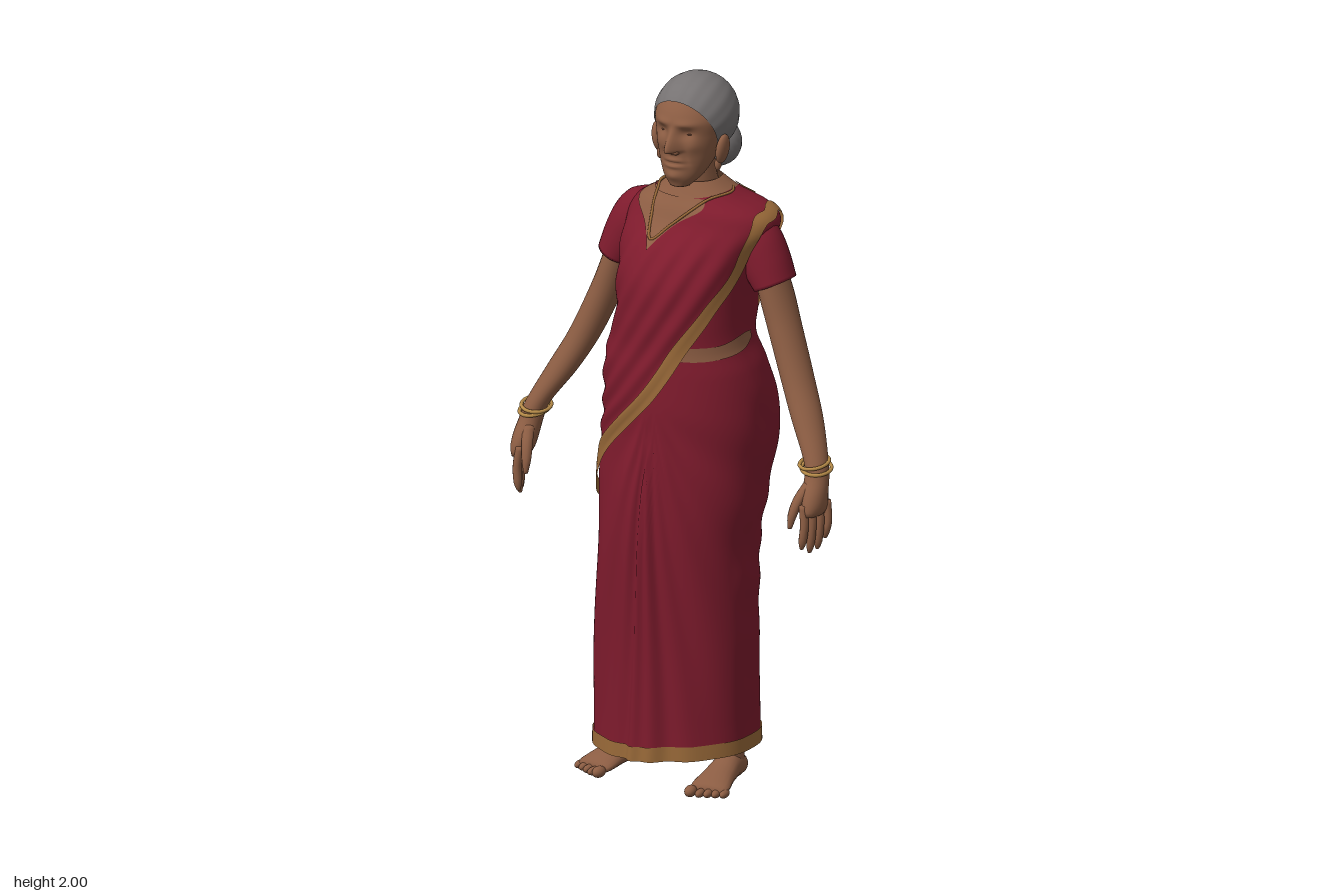
import * as THREE from 'three';
import { mergeVertices } from 'three/addons/utils/BufferGeometryUtils.js';

const mat = (name, color) => {
  const m = new THREE.MeshStandardMaterial({ color, side: THREE.DoubleSide });
  m.name = name;
  return m;
};
const smooth = THREE.MathUtils.smoothstep, HALF = Math.PI / 2;
const bump = (d, w) => Math.exp(-(d * d) / (w * w));

// Smooth interpolation of rows keyed by their first number
function table(rows) {
  const n = rows.length, at = (i) => rows[Math.max(0, Math.min(n - 1, i))];
  const slope = (i, k) => (at(i + 1)[k] - at(i - 1)[k]) / (at(i + 1)[0] - at(i - 1)[0]);
  return (y) => {
    let i = 0;
    while (i < n - 2 && y > rows[i + 1][0]) i++;
    const a = rows[i], b = rows[i + 1], h = b[0] - a[0];
    const t = THREE.MathUtils.clamp((y - a[0]) / h, 0, 1), s = 1 - t;
    return a.slice(1).map((v, k) => v * (1 + 2 * t) * s * s + b[k + 1] * t * t * (3 - 2 * t)
      + h * t * s * (s * slope(i, k + 1) - t * slope(i + 1, k + 1)));
  };
}

// Quad sheet from a rule giving a point for u, v in 0..1
function sheet(nu, nv, rule) {
  const pos = [], idx = [];
  for (let j = 0; j <= nv; j++) for (let i = 0; i <= nu; i++) pos.push(...rule(i / nu, j / nv));
  for (let j = 0; j < nv; j++) for (let i = 0; i < nu; i++) {
    const a = j * (nu + 1) + i, b = a + nu + 1;
    idx.push(a, a + 1, b + 1, a, b + 1, b);
  }
  let g = new THREE.BufferGeometry();
  g.setAttribute('position', new THREE.Float32BufferAttribute(pos, 3));
  g.setIndex(idx);
  g = mergeVertices(g, 1e-5);
  g.computeVertexNormals();
  return g;
}

// Closed solid from rows of [y, centreX, radiusX, centreZ, radiusZ]
function loft(rows, { n = 20, steps = 5, tilt = 0, shape = null } = {}) {
  rows = [...rows].sort((a, b) => a[0] - b[0]);
  const T = table(rows), y0 = rows[0][0], y1 = rows[rows.length - 1][0], nv = rows.length * steps + 2;
  return sheet(n, nv, (u, v) => {
    const k = Math.round(v * nv), a = u * 2 * Math.PI;
    const y = y0 + (y1 - y0) * THREE.MathUtils.clamp((k - 1) / (nv - 2), 0, 1);
    const [cx, rx, cz, rz] = T(y), r = k === 0 || k === nv ? 0 : 1;
    const p = [cx + rx * r * Math.sin(a), y + tilt * rx * r * Math.sin(a), cz + rz * r * Math.cos(a)];
    return shape && r ? shape(p, Math.cos(a)) : p;
  });
}

// Draped figure: y, right, left, back, front
const section = table([
  [0.07, -.27, .19, -.19, .175], [0.2, -.265, .19, -.185, .175], [0.4, -.26, .195, -.17, .18],
  [0.7, -.25, .205, -.165, .196], [0.85, -.248, .225, -.185, .196], [1.0, -.235, .24, -.213, .192],
  [1.1, -.23, .235, -.218, .194], [1.2, -.22, .212, -.18, .19], [1.27, -.195, .185, -.17, .185],
  [1.35, -.185, .18, -.18, .182], [1.45, -.19, .19, -.203, .168], [1.53, -.196, .21, -.208, .13],
  [1.6, -.198, .24, -.188, .08], [1.64, -.165, .215, -.165, .06], [1.67, -.11, .13, -.14, .04],
  [1.72, -.055, .055, -.1, .012],
].map(([y, l, r, b, f]) => [y, (l + r) / 2, (r - l) / 2, (b + f) / 2, (f - b) / 2]));
const sashEdge = table([[.82, -.235], [.945, -.18], [1.14, -.01], [1.39, .14], [1.615, .225]]);
const hem = (a) => 0.09 + 0.018 * Math.sin(a);
const collar = (a) => 1.665 + 0.018 * Math.max(0, Math.sin(a));

function base(a, y) {
  const [cx, rx, cz, rz] = section(y), s = Math.sin(a), c = Math.cos(a), n = c > 0 ? 2.1 : 2.5;
  const r = 1 / Math.pow(Math.abs(s) ** n + Math.abs(c) ** n, 1 / n);
  return [cx + rx * r * s, y, cz + rz * r * c];
}
// Figure surface with pleats, swags and the raised sash
function surface(a, y, off = 0) {
  const p = base(a, y), c = Math.cos(a), front = smooth(c, 0, .35), back = smooth(-c, -.1, .5);
  const phi = Math.atan2(p[0], 1.14 - y), g = phi / (.25 + Math.abs(phi + .08));
  let d = off;
  d += front * smooth(1.12 - y, 0, .2) * (.0045 * Math.cos(30 * g) + .003 * Math.cos(13 * g + 1));
  d += .016 * front * bump(p[0] + .05, .06) * smooth(1.1 - y, 0, .3);
  d += .0025 * back * Math.cos(40 * y + 4 * Math.cos(a - 2.4) + 2 * Math.sin(9 * y)) * smooth(y, .25, .6) * (1 - smooth(y, 1.45, 1.6));
  d += .0025 * (1 - front) * Math.cos(34 * y + 3 * a * Math.sign(Math.sin(a))) * (1 - back) * (1 - smooth(y, 1.1, 1.3)) * smooth(y, .2, .5);
  const e = sashEdge(y)[0] - p[0], on = front * smooth(y, .9, 1.0) * (1 - smooth(y, 1.5, 1.62));
  d += on * smooth(e, -.005, .012) * (.006 + .0035 * Math.cos(e * 95 + 6 * y));
  return [p[0] + d * Math.sin(a), y, p[2] + d * c];
}
// Angle of the surface point at a given x and y
function spot(x, y, back = false) {
  let lo = -HALF, hi = HALF;
  for (let i = 0; i < 30; i++) {
    const m = (lo + hi) / 2;
    if (base(back ? Math.PI - m : m, y)[0] < x) lo = m; else hi = m;
  }
  return [back ? Math.PI - lo : lo, y];
}
const curve = (pts) => new THREE.CatmullRomCurve3(pts.map(([a, y]) => new THREE.Vector3(a, y, 0)));

// Strip of cloth lying on the figure along a path of [angle, y]
function ribbon(pts, width, off = .006) {
  const c = curve(pts), h = .002;
  return sheet(110, 4, (u, v) => {
    const p = c.getPoint(u), t = c.getTangent(u);
    const len = (q, r) => Math.hypot(...q.map((k, i) => k - r[i])) / h;
    const P = base(p.x, p.y), A = len(base(p.x + h, p.y), P), Y = len(base(p.x, p.y + h), P);
    const l = Math.hypot(t.x * A, t.y * Y), w = (v - .5) * width;
    return surface(p.x - w * t.y * Y / l / A, p.y + w * t.x * A / l / Y, off);
  });
}
// Area of the figure between two paths
function patch(low, high, off = .004) {
  const A = curve(low), B = curve(high);
  return sheet(24, 16, (u, v) => {
    const p = A.getPoint(u).lerp(B.getPoint(u), v);
    return surface(p.x, p.y, off);
  });
}

export function createModel() {
  const root = new THREE.Group();
  root.name = 'womanInSari';
  const cloth = mat('red cloth', 0x7f1b2d), skin = mat('skin', 0x8c5d43), hair = mat('grey hair', 0x767272);
  const trim = mat('border gold', 0x9a6a39), metal = mat('jewellery gold', 0xb58a48), lidTone = mat('dark skin', 0x6b4433);
  const add = (name, geo, m, parent = root) => {
    const o = new THREE.Mesh(geo, m);
    o.name = name;
    parent.add(o);
    return o;
  };
  const ball = (name, m, [x, y, z], [a, b, c], parent = root) => {
    const o = add(name, new THREE.SphereGeometry(1, 24, 16), m, parent);
    o.position.set(x, y, z);
    o.scale.set(a, b, c);
    return o;
  };

  // Sari and blouse
  add('sari', sheet(240, 150, (u, v) => {
    const a = u * 2 * Math.PI;
    return surface(a, hem(a) + (collar(a) - hem(a)) * v);
  }), cloth);
  add('upperChest', sheet(60, 8, (u, v) => {
    const a = u * 2 * Math.PI;
    return surface(a, collar(a) + (1.71 - collar(a)) * v);
  }), skin);
  add('hemBorder', sheet(240, 2, (u, v) => {
    const a = u * 2 * Math.PI;
    return surface(a, hem(a) - .002 + .042 * v, .004);
  }), trim);
  add('sashBorder', ribbon([[-2.05, .7], [-1.75, .755], spot(-.236, .82), spot(-.18, .94), spot(-.09, 1.045),
    spot(-.005, 1.14), spot(.07, 1.265), spot(.14, 1.39), spot(.186, 1.5), spot(.218, 1.59), [HALF, 1.632],
    spot(.205, 1.6, true), spot(.175, 1.5, true), spot(.13, 1.37, true), spot(.08, 1.24, true)], .038, .008), trim);
  add('backBorder', ribbon([spot(.085, 1.675, true), spot(.02, 1.6, true), spot(-.06, 1.52, true),
    spot(-.14, 1.44, true), [Math.PI * 1.5 - .2, 1.37]], .034), trim);
  add('frontNeckline', patch([spot(-.13, 1.666), spot(-.09, 1.595), spot(-.045, 1.535)],
    [spot(.075, 1.672), spot(.015, 1.605), spot(-.045, 1.535)]), skin);
  add('backNeckline', patch([spot(.06, 1.668, true), spot(.01, 1.61, true), spot(-.06, 1.53, true)],
    [spot(-.12, 1.666, true), spot(-.105, 1.59, true), spot(-.06, 1.53, true)]), skin);
  add('midriff', patch([spot(.065, 1.25), spot(.15, 1.25), [HALF, 1.262], [1.8, 1.28]],
    [spot(.09, 1.288), spot(.16, 1.288), [HALF, 1.303], [1.8, 1.3]]), skin);

  // Head: one form with brow, sockets, nose, mouth and chin
  add('head', loft([[1.705, 0, .028, .035, .028], [1.73, 0, .052, .02, .05], [1.76, 0, .069, .003, .07],
    [1.8, 0, .083, -.012, .086], [1.85, 0, .094, -.022, .097], [1.9, 0, .098, -.027, .1],
    [1.95, 0, .074, -.035, .077], [1.985, 0, .035, -.038, .04]], { n: 112, steps: 9, shape: ([x, y, z], c) => {
    if (c > 0) {
      const m = Math.abs(x), nose = smooth(y, 1.798, 1.816) * (1 - smooth(y, 1.812, 1.89));
      z += .04 * nose * bump(x, .011 + .008 * nose) - .011 * bump(m - .037, .02) * bump(y - 1.862, .015);
      z += .006 * bump(y - 1.888, .01) * bump(m - .035, .03) + .005 * bump(m - .055, .018) * bump(y - 1.825, .018);
      z += (.005 * bump(y - 1.783, .006) + .006 * bump(y - 1.766, .006) - .005 * bump(y - 1.775, .004)) * bump(x, .026);
      z += .008 * bump(y - 1.738, .014) * bump(x, .025) - .004 * bump(m - .03 - (1.82 - y) * .25, .006) * bump(y - 1.795, .025);
    }
    return [x, y, z];
  } }), skin);
  add('neck', loft([[1.62, 0, .07, -.07, .065], [1.68, 0, .064, -.05, .06], [1.74, 0, .058, -.038, .056],
    [1.8, 0, .055, -.035, .055]]), skin);
  const cap = new THREE.SphereGeometry(1, 96, 40, 0, Math.PI * 2, 0, 2.11);
  const cp = cap.attributes.position;
  for (let i = 0; i < cp.count; i++) {
    const k = 1 + .006 * Math.cos(18 * Math.atan2(cp.getX(i), cp.getZ(i))) * (1 - cp.getY(i) ** 2);
    cp.setXYZ(i, cp.getX(i) * k, cp.getY(i) * k, cp.getZ(i) * k);
  }
  cap.rotateX(-1.107).scale(.112, .116, .125).computeVertexNormals();
  add('hair', cap, hair).position.set(0, 1.883, -.049);
  ball('hairBun', hair, [0, 1.77, -.158], [.066, .068, .062]);

  // Necklace
  const chain = [spot(-.08, 1.668), spot(-.07, 1.62), spot(-.045, 1.56), spot(0, 1.6), spot(.05, 1.645),
    spot(.08, 1.672), [HALF, 1.682], [Math.PI, 1.682], [Math.PI * 1.5, 1.682]];
  add('necklace', new THREE.TubeGeometry(new THREE.CatmullRomCurve3(
    chain.map(([a, y]) => new THREE.Vector3(...surface(a, y, .006))), true), 90, .004, 6, true), trim);

  for (const s of [1, -1]) {
    const side = s > 0 ? 'left' : 'right';
    const mx = (rows) => rows.map(([y, cx, ...r]) => [y, cx * s, ...r]);

    // Face details
    ball(side + 'Ear', skin, [.102 * s, 1.808, -.018], [.015, .043, .026]).rotation.z = -.15 * s;
    ball(side + 'EarLobe', skin, [.092 * s, 1.765, -.01], [.009, .018, .011]);
    ball(side + 'Eye', lidTone, [.036 * s, 1.859, .05], [.015, .004, .008]);
    ball(side + 'Nostril', skin, [.013 * s, 1.81, .078], [.009, .008, .013]);

    // Sleeve and arm
    add(side + 'Sleeve', loft(mx([[1.625, .15, .03, -.055, .035], [1.6, .16, .055, -.055, .052], [1.555, .183, .068, -.055, .068],
      [1.5, .215, .064, -.054, .07], [1.44, .248, .053, -.052, .067]]), { n: 28, tilt: .45 * s }), cloth);
    add(side + 'Arm', loft(mx([[1.52, .22, .04, -.05, .05], [1.42, .25, .045, -.052, .056], [1.33, .283, .046, -.043, .052],
      [1.2, .338, .046, -.02, .048], [1.1, .39, .044, .012, .044], [1.0, .445, .033, .054, .036], [.96, .455, .032, .066, .038],
      [.92, .46, .033, .084, .044], [.885, .465, .029, .092, .048], [.865, .467, .02, .094, .045]]), { n: 24 }), skin);

    // Fingers and thumb
    for (let i = 0; i < 4; i++) {
      const z = .058 + .024 * i, tip = [.79, .764, .758, .772][i], x = .481 - .01 * i;
      add(side + 'Finger', loft(mx([[.895, x, .0125, z, .0125], [.84, x + .007, .012, z + .005, .0125],
        [tip + .02, x + .003, .011, z + .008, .0115], [tip, x, .005, z + .008, .005]]), { n: 10, steps: 3 }), skin);
    }
    add(side + 'Thumb', loft(mx([[.95, .448, .016, .09, .018], [.91, .434, .016, .122, .016], [.865, .424, .013, .142, .013],
      [.83, .421, .006, .15, .006]]), { n: 10, steps: 3 }), skin);

    // Bangles
    for (const y of [.983, .997]) {
      const b = add(side + 'Bangle', new THREE.TorusGeometry(.041, .0052, 8, 32), metal);
      b.position.set((.449 - (y - .985) * .5) * s, y, .06);
      b.rotation.set(HALF + .2, (y - .99) * 12 * s, 0);
    }

    // Leg and foot
    const foot = new THREE.Group();
    foot.name = side + 'Foot';
    foot.position.x = s > 0 ? .12 : -.208;
    foot.rotation.y = .14 * s;
    root.add(foot);
    add('ankle', loft([[.03, 0, .032, -.05, .036], [.1, 0, .034, -.05, .038], [.3, 0, .045, -.04, .05]]), skin, foot);
    add('sole', loft([[-.1, 0, .02, -.028, .018], [-.08, 0, .033, -.034, .033], [-.03, 0, .037, -.04, .04],
      [.04, 0, .046, -.03, .03], [.1, .002 * s, .055, -.02, .02], [.125, .002 * s, .05, -.015, .014]]).rotateX(HALF), skin, foot);
    for (let i = 0; i < 5; i++) {
      const r = i ? .0115 : .016;
      ball('toe', skin, [(-.038 + .021 * i + (i ? .004 : 0)) * s, r, .142 - .007 * i], [r, r, .023], foot);
    }
  }
  return root;
}
